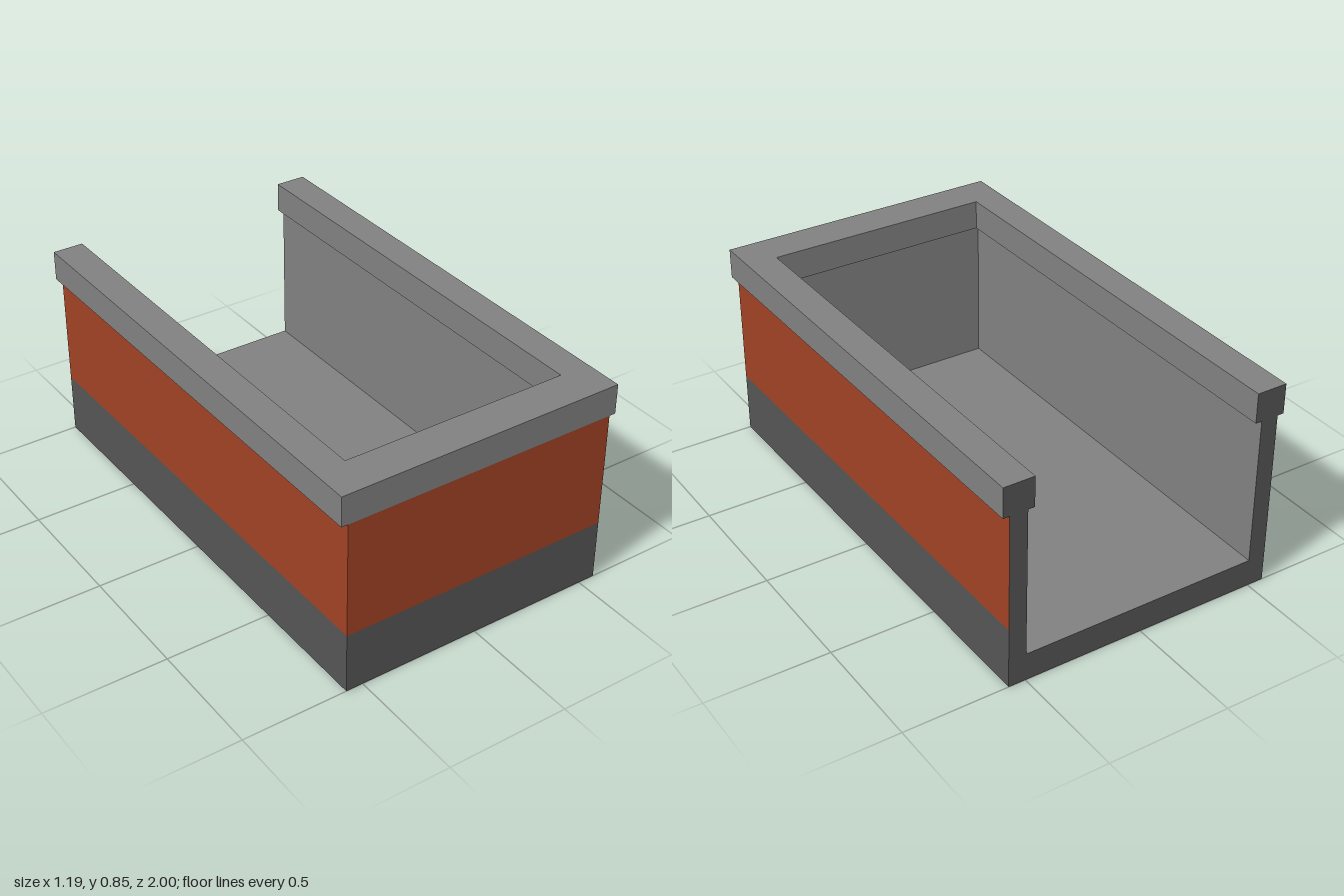
import * as THREE from 'three';

const stone = new THREE.MeshStandardMaterial({ color: 0x808080 });
stone.name = 'light grey stone';
const plinth = new THREE.MeshStandardMaterial({ color: 0x555555 });
plinth.name = 'dark grey plinth';
const brick = new THREE.MeshStandardMaterial({ color: 0xa04224 });
brick.name = 'red brick';

const BACK = -1, FRONT = 1;

// Outline in plan (shape y = -z), given as [x, z] points
const plan = (points) => new THREE.Shape(points.map(([x, z]) => new THREE.Vector2(x, -z)));

// U-shaped plan, open at the back
const uPlan = (outer, inner, innerFront) => plan([
  [-outer, BACK], [-outer, FRONT], [outer, FRONT], [outer, BACK],
  [inner, BACK], [inner, innerFront], [-inner, innerFront], [-inner, BACK],
]);

// Raises a plan from y0 to y1: dark back ends, outerMaterial outside, stone inside
function layer(name, shape, y0, y1, outer, outerMaterial) {
  const geo = new THREE.ExtrudeGeometry(shape, { depth: y1 - y0, bevelEnabled: false });
  geo.rotateX(-Math.PI / 2).translate(0, y0, 0);
  const pos = geo.attributes.position, nor = geo.attributes.normal;
  const near = (a, b) => Math.abs(a - b) < 1e-3;
  geo.clearGroups();
  for (let i = 0; i < pos.count; i += 3) {
    const nx = nor.getX(i), ny = nor.getY(i), nz = nor.getZ(i);
    let slot = 1;
    if (nz < -0.5 && near(pos.getZ(i), BACK)) slot = 2;
    else if (nz > 0.5 || ny < -0.5) slot = 0;
    else if (Math.abs(nx) > 0.5 && near(pos.getX(i), Math.sign(nx) * outer)) slot = 0;
    geo.addGroup(i, 3, slot);
  }
  const mesh = new THREE.Mesh(geo, [outerMaterial, stone, plinth]);
  mesh.name = name;
  return mesh;
}

export function createModel() {
  const group = new THREE.Group();
  group.name = 'openTrough';

  const wall = 0.57, wallInner = 0.497, wallFront = 0.866;
  const rim = 0.597, rimInner = 0.47, rimFront = 0.838;
  const floorTop = 0.115, plinthTop = 0.25, wallTop = 0.727, rimTop = 0.85;

  const slab = plan([[-wall, BACK], [-wall, FRONT], [wall, FRONT], [wall, BACK]]);
  const walls = uPlan(wall, wallInner, wallFront);

  group.add(
    layer('floorSlab', slab, 0, floorTop, wall, plinth),
    layer('plinthWalls', walls, floorTop, plinthTop, wall, plinth),
    layer('brickWalls', walls, plinthTop, wallTop, wall, brick),
    layer('copingRim', uPlan(rim, rimInner, rimFront), wallTop, rimTop, rim, stone),
  );
  return group;
}
